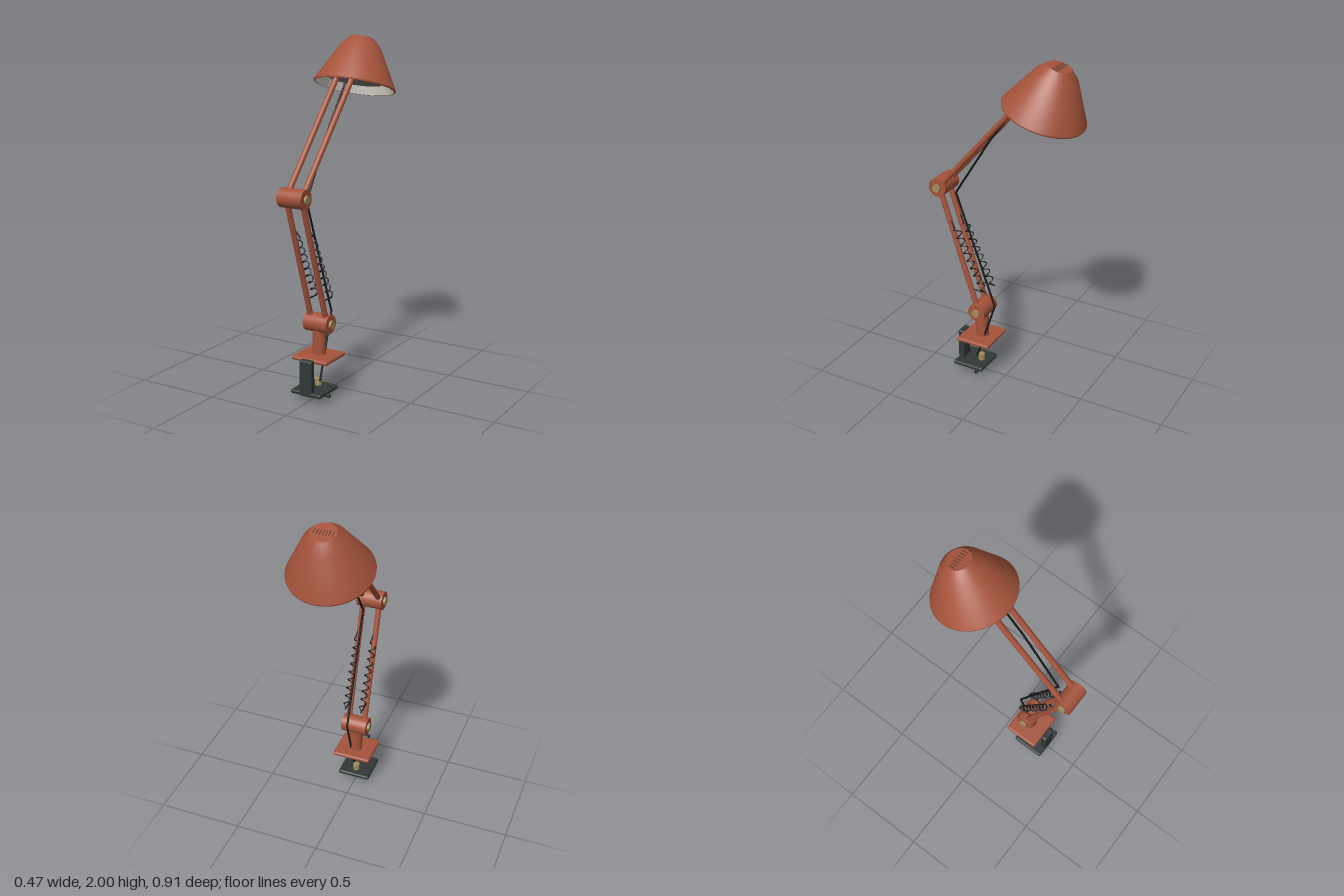
import * as THREE from 'three';
import { RoundedBoxGeometry } from 'three/addons/geometries/RoundedBoxGeometry.js';
import { toCreasedNormals } from 'three/addons/utils/BufferGeometryUtils.js';

const mat = (color, side = THREE.FrontSide) => new THREE.MeshStandardMaterial({ color, side });

export function createModel() {
  const lamp = new THREE.Group();
  lamp.name = 'deskLamp';
  const paint = mat(0xa5533b), iron = mat(0x303836), brass = mat(0xa38d5c);
  const rubber = mat(0x161818), white = mat(0xdedcd2, THREE.DoubleSide), grey = mat(0x77766c, THREE.DoubleSide);
  const V = (x, y, z) => new THREE.Vector3(x, y, z);

  function add(name, geometry, material, pos = [0, 0, 0], parent = lamp) {
    const mesh = new THREE.Mesh(geometry, material);
    mesh.name = name;
    mesh.position.set(...pos);
    parent.add(mesh);
    return mesh;
  }
  const slab = (name, w, h, d, pos, material) =>
    add(name, new RoundedBoxGeometry(w, h, d, 3, 0.011), material, pos);

  // Cylinder between two points
  function rod(name, a, b, r, material, sides = 24) {
    const mesh = add(name, new THREE.CylinderGeometry(r, r, a.distanceTo(b), sides), material);
    mesh.position.copy(a).add(b).multiplyScalar(0.5);
    mesh.quaternion.setFromUnitVectors(V(0, 1, 0), b.clone().sub(a).normalize());
    return mesh;
  }

  // Clamp and base plate
  slab('basePlate', 0.23, 0.025, 0.21, [0, 0.237, 0.163], paint);
  slab('clampUpright', 0.08, 0.21, 0.04, [0, 0.143, 0.285], iron);
  slab('clampJaw', 0.196, 0.025, 0.197, [0, 0.053, 0.207], iron);
  rod('clampScrew', V(0, 0.01, 0.165), V(0, 0.07, 0.165), 0.014, brass);
  rod('clampScrewPad', V(0, 0.06, 0.165), V(0, 0.105, 0.165), 0.02, brass);
  rod('clampHandle', V(-0.075, 0.011, 0.165), V(0.075, 0.011, 0.165), 0.011, iron);

  // Post and the two hinges
  rod('post', V(0, 0.245, 0.155), V(0, 0.43, 0.155), 0.038, paint, 32);
  const lower = [0.43, 0.155], elbow = [1.18, 0.4], head = [1.785, -0.127];
  for (const [label, [y, z]] of [['base', lower], ['elbow', elbow]]) {
    rod(label + 'Hinge', V(-0.076, y, z), V(0.076, y, z), 0.054, paint, 40);
    rod(label + 'HingePin', V(-0.089, y, z), V(0.089, y, z), 0.023, brass);
  }

  // Paired arm rods with their springs
  for (const s of [-1, 1]) {
    const x = s * 0.049;
    rod('lowerArm', V(x, ...lower), V(x, ...elbow), 0.016, paint);
    rod('upperArm', V(x, ...elbow), V(x, ...head), 0.016, paint);

    const top = V(x, 0.94, 0.295), bottom = V(x, 0.59, 0.125), turns = 8, steps = 128;
    const axis = bottom.clone().sub(top).normalize();
    const across = V(1, 0, 0), out = axis.clone().cross(across);
    const points = [V(x, 1.03, 0.365), V(x, 1.01, 0.345)];
    for (let i = 0; i <= steps; i++) {
      const a = (i / steps) * turns * Math.PI * 2;
      points.push(top.clone().lerp(bottom, i / steps)
        .addScaledVector(across, 0.017 * Math.cos(a))
        .addScaledVector(out, 0.019 * Math.sin(a)));
    }
    points.push(V(x, 0.572, 0.11));
    add('spring', new THREE.TubeGeometry(new THREE.CatmullRomCurve3(points), 300, 0.0035, 6), rubber);
    rod('springBracket', V(x, 0.57, 0.2), V(x, 0.57, 0.1), 0.004, rubber, 8);
  }

  // Power cable
  const cable = new THREE.CurvePath();
  const route = [V(0.022, 0.1, 0.182), V(0.022, 0.475, 0.06), V(0.02, 1.152, 0.309),
    V(0.02, 1.535, 0.07), V(0.018, 1.77, -0.11)];
  for (let i = 1; i < route.length; i++) {
    cable.add(new THREE.LineCurve3(route[i - 1], route[i]));
    add('cableBend', new THREE.SphereGeometry(0.006, 10, 8), rubber, route[i - 1].toArray());
  }
  cable.curves.forEach((c) => rod('cable', c.v1, c.v2, 0.006, rubber, 10));

  // Shade, tilted back-down around its rim centre
  const shade = new THREE.Group();
  shade.name = 'shade';
  shade.position.set(0, 1.712, -0.227);
  shade.rotation.x = -0.311;
  lamp.add(shade);
  const lathe = (pts) => toCreasedNormals(
    new THREE.LatheGeometry(pts.map(([r, y]) => new THREE.Vector2(r, y)), 64), 0.45);
  add('shadeShell', lathe([[0.225, 0], [0.232, 0], [0.234, 0.008], [0.117, 0.228],
    [0.067, 0.28], [0, 0.28]]), paint, [0, 0, 0], shade);
  add('shadeLining', lathe([[0.225, 0], [0.108, 0.222], [0.06, 0.27], [0, 0.27]]), white, [0, 0, 0], shade);
  const plate = add('reflectorPlate', new THREE.CylinderGeometry(0.16, 0.16, 0.008, 48), grey, [0, 0.042, 0], shade);
  plate.material = grey;
  for (let i = -3; i <= 3; i++) {
    add('ventSlot', new THREE.BoxGeometry(0.003, 0.003, 0.036), iron, [i * 0.0167, 0.28, 0], shade);
  }
  return lamp;
}
